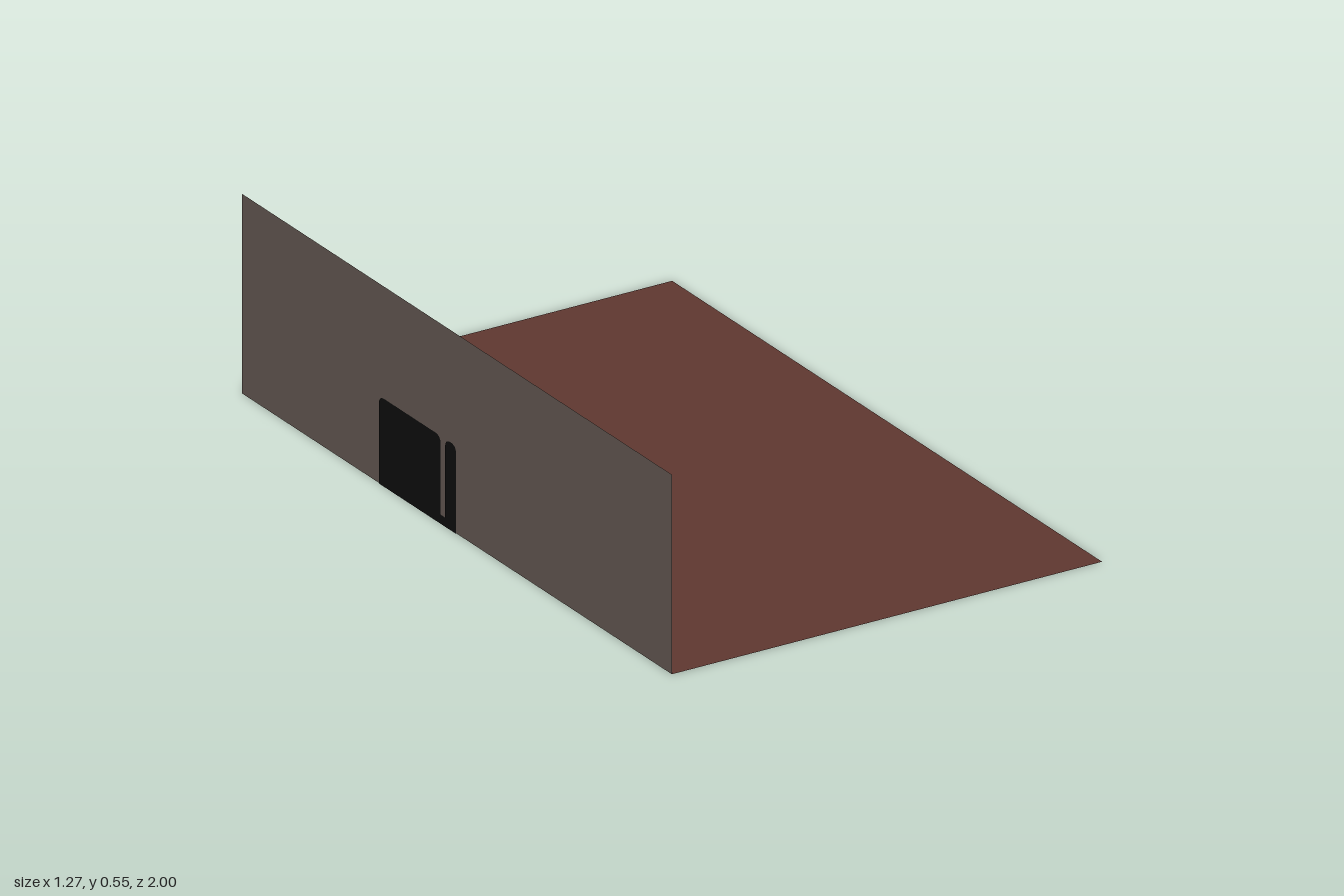
import * as THREE from 'three';

const W = 1.266, L = 2, H = 0.545;

const flat = (name, color) => {
  const m = new THREE.MeshStandardMaterial({ color, side: THREE.DoubleSide });
  m.name = name;
  return m;
};

export function createModel() {
  const group = new THREE.Group();
  const floorMat = flat('redBrownFloor', 0x5f3730);
  const wallMat = flat('greyBrownWall', 0x5e534d);
  const doorMat = flat('blackDoorway', 0x0d0d0d);

  const add = (name, geometry, material, x, y) => {
    const mesh = new THREE.Mesh(geometry, material);
    mesh.name = name;
    mesh.position.set(x, y, 0);
    group.add(mesh);
  };

  // Floor sheet
  add('floor', new THREE.PlaneGeometry(W, L).rotateX(-Math.PI / 2), floorMat, 0, 0);

  // Single upright side wall
  add('wall', new THREE.PlaneGeometry(L, H).rotateY(Math.PI / 2), wallMat, -W / 2, H / 2);

  // Doorway: two round-topped panels joined along the bottom, parted by a slit
  const door = new THREE.Shape();
  const top = 0.24, r = 0.025;
  const panelTop = (x0, x1) => {
    door.lineTo(x0, top - r);
    door.quadraticCurveTo(x0, top, x0 + r, top);
    door.lineTo(x1 - r, top);
    door.quadraticCurveTo(x1, top, x1, top - r);
  };
  door.moveTo(0, 0);
  panelTop(0, 0.052);
  door.lineTo(0.052, 0.025);
  door.lineTo(0.072, 0.025);
  panelTop(0.072, 0.36);
  door.lineTo(0.36, 0);

  // The same dark opening shows on both faces of the wall
  const doorGeometry = new THREE.ShapeGeometry(door).rotateY(Math.PI / 2);
  add('doorwayInside', doorGeometry, doorMat, -W / 2 + 0.002, 0);
  add('doorwayOutside', doorGeometry, doorMat, -W / 2 - 0.002, 0);

  return group;
}
